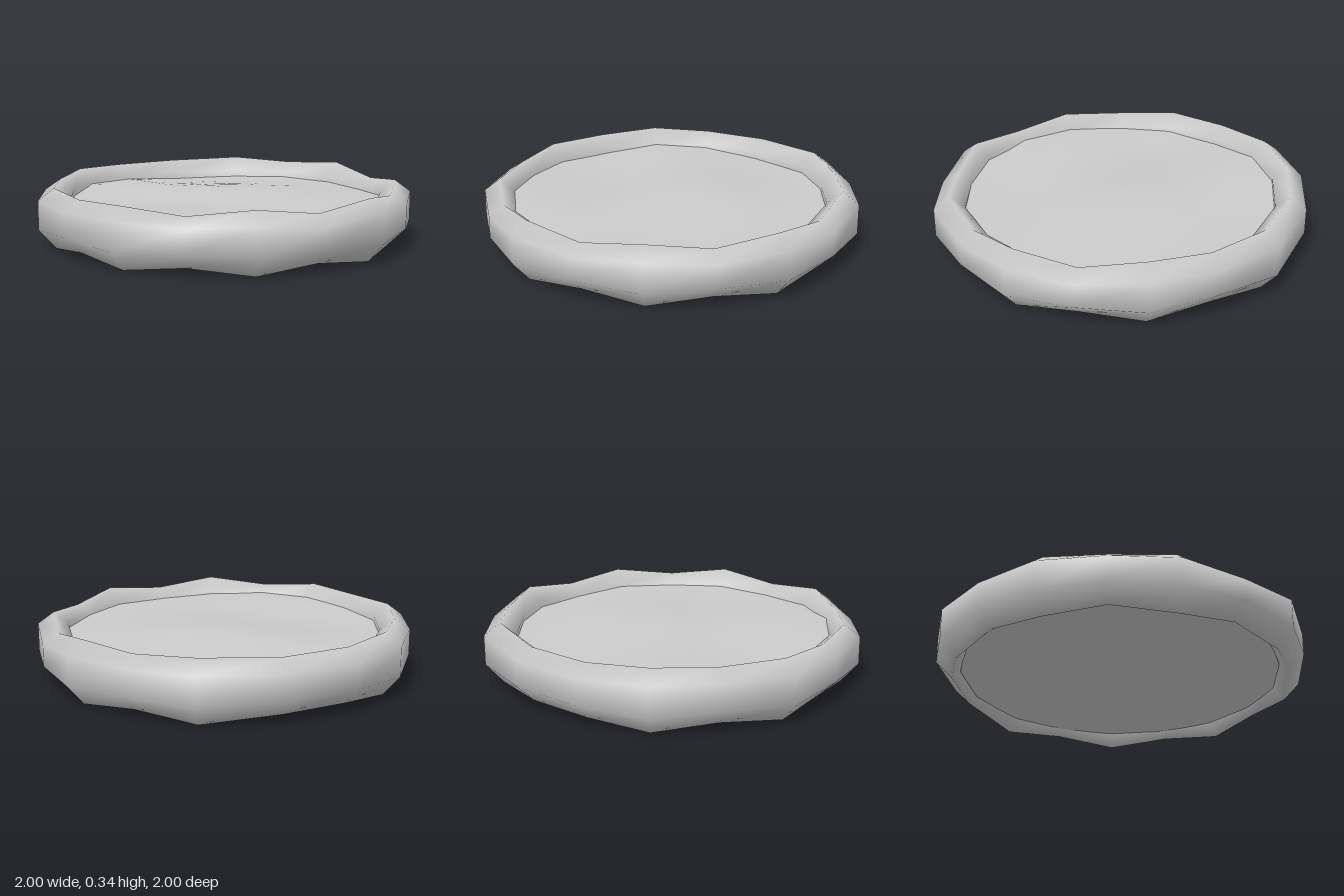
import * as THREE from 'three';

// Irregular 17-sided plan outline (x, z) and rim crest height, running from the back round by the left
const outline = [
  [-0.07, -1, 0.325], [0.37, -0.96, 0.335], [0.67, -0.75, 0.32], [0.91, -0.48, 0.34], [1, -0.13, 0.29],
  [1, 0.23, 0.325], [0.83, 0.55, 0.29], [0.59, 0.82, 0.325], [0.25, 0.95, 0.285], [-0.11, 1, 0.325],
  [-0.45, 0.87, 0.29], [-0.74, 0.66, 0.32], [-0.91, 0.34, 0.31], [-1, 0, 0.325], [-0.91, -0.36, 0.325],
  [-0.74, -0.68, 0.335], [-0.45, -0.89, 0.325],
];

// Sweeps a profile round the outline; point(i, j, x, z) returns [share of outline radius, y]
function sweep(name, count, closed, point) {
  const n = outline.length, pos = [], index = [];
  outline.forEach(([x, z], i) => {
    for (let j = 0; j < count; j++) {
      const [r, y] = point(i, j, x, z);
      pos.push(x * r, y, z * r);
    }
  });
  for (let i = 0; i < n; i++) {
    for (let j = 0; j < (closed ? count : count - 1); j++) {
      const k = (j + 1) % count, a = i * count, b = ((i + 1) % n) * count;
      index.push(a + j, a + k, b + j, a + k, b + k, b + j);
    }
  }
  const geo = new THREE.BufferGeometry();
  geo.setAttribute('position', new THREE.Float32BufferAttribute(pos, 3));
  geo.setIndex(index);
  geo.computeVertexNormals();
  const mesh = new THREE.Mesh(geo, new THREE.MeshStandardMaterial({ color: 0xcccccc, side: THREE.DoubleSide }));
  mesh.name = name;
  return mesh;
}

export function createModel() {
  const group = new THREE.Group();
  group.name = 'roundTray';

  // Rounded rim: six-sided tube with an uneven crest and foot; y is a share of its height
  const section = [[1, 0.32], [1, 0.8], [0.915, 1], [0.837, 0.78], [0.837, 0.28], [0.91, 0]];
  group.add(sweep('rim', 6, true, (i, j) => {
    const [r, y] = section[j];
    const foot = i % 2 ? 0.005 : 0.04;
    return [r, foot + y * (outline[i][2] - foot)];
  }));

  // Gently lumpy filling
  const rings = 10;
  group.add(sweep('filling', rings, false, (i, j, x, z) => {
    const r = 0.865 * (1 - j / (rings - 1));
    const px = x * r, pz = z * r;
    const lumps = 0.012 * Math.sin(px * 5 + 1) * Math.cos(pz * 4.3) + 0.008 * Math.sin(px * 3 - pz * 6);
    return [r, 0.25 - 0.02 * r * r + lumps];
  }));

  // Flat underside and the short wall joining it to the filling
  group.add(sweep('base', 2, false, (i, j) => [0.865 * j, 0.075]));
  group.add(sweep('baseWall', 2, false, (i, j) => [0.865, 0.075 + 0.15 * j]));
  return group;
}
